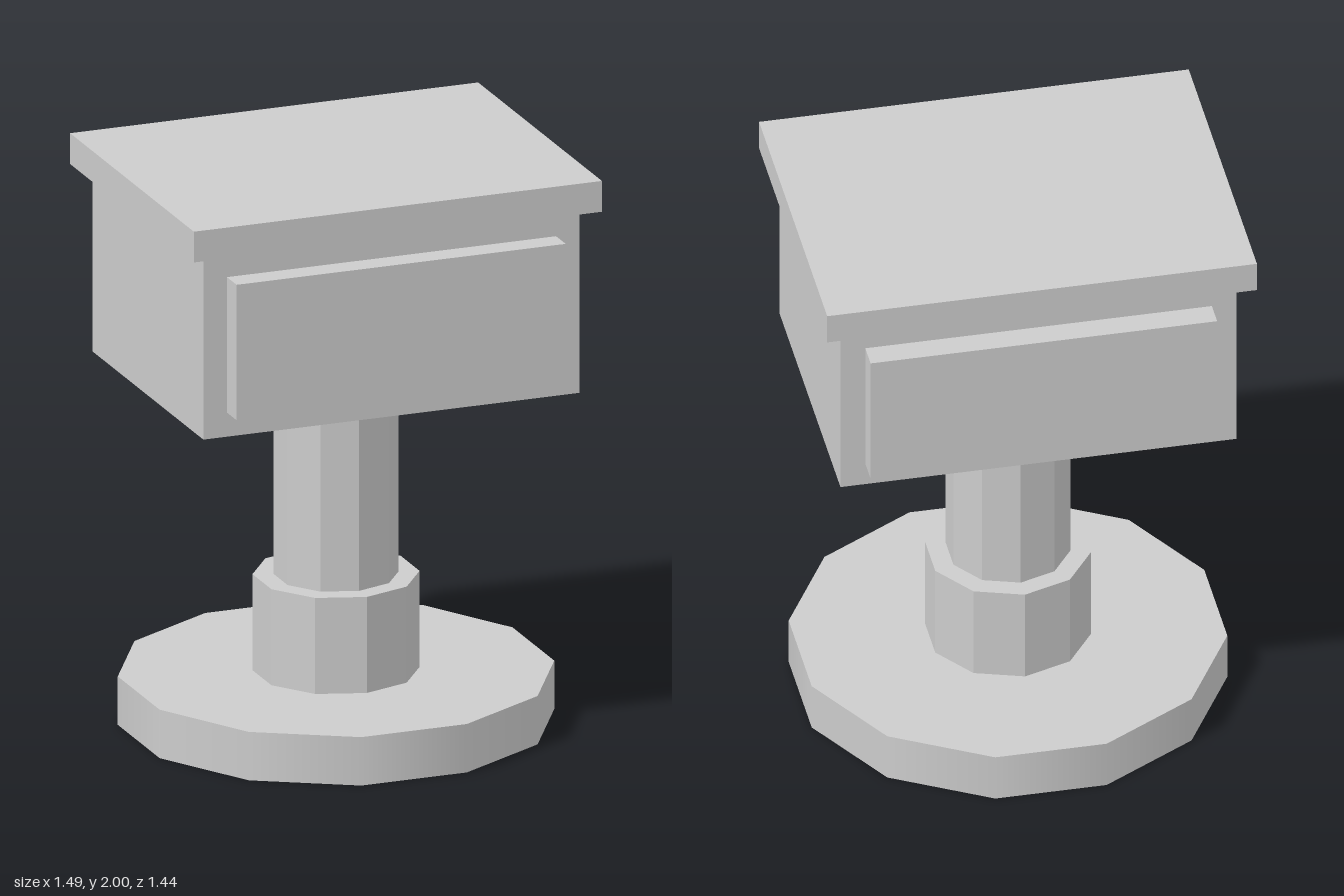
import * as THREE from 'three';

export function createModel() {
  const group = new THREE.Group();
  const grey = new THREE.MeshStandardMaterial({ color: 0xcccccc });
  grey.name = 'light grey';

  const add = (name, geometry, y, z = 0) => {
    const mesh = new THREE.Mesh(geometry, grey);
    mesh.name = name;
    mesh.position.set(0, y, z);
    group.add(mesh);
    return mesh;
  };
  // Box and prism helpers that span a height range
  const box = (name, w, d, y0, y1, z = 0) =>
    add(name, new THREE.BoxGeometry(w, y1 - y0, d), (y0 + y1) / 2, z);
  const prism = (name, r, sides, y0, y1) =>
    add(name, new THREE.CylinderGeometry(r, r, y1 - y0, sides), (y0 + y1) / 2);
  const facet = (mesh) => {
    mesh.geometry = mesh.geometry.toNonIndexed();
    mesh.geometry.computeVertexNormals();
  };

  // Twelve-sided foot with smooth rim, flats facing the axes
  prism('base', 0.745, 12, 0, 0.173).rotation.y = Math.PI / 12;

  // Ten-sided faceted collar and post
  facet(prism('collar', 0.284, 10, 0.173, 0.516));
  facet(prism('post', 0.213, 10, 0.516, 1.232));

  // Head with overhanging lid
  box('head', 1.372, 1.024, 1.232, 1.89);
  box('lid', 1.488, 1.142, 1.89, 2);

  // Raised panels on front and back
  for (const [name, side] of [['frontPanel', 1], ['backPanel', -1]]) {
    box(name, 1.2, 0.09, 1.318, 1.802, side * 0.556);
  }
  return group;
}
